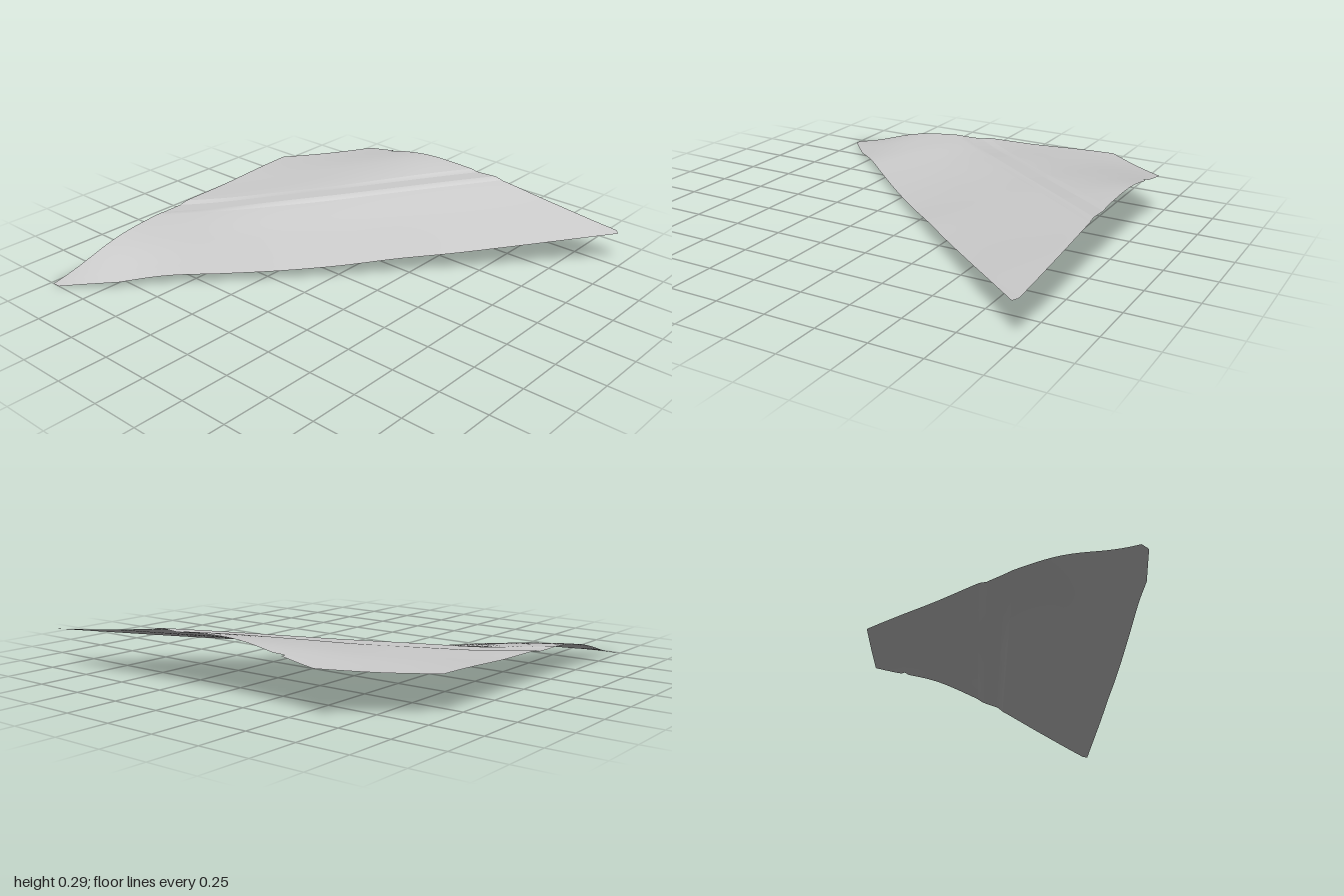
import * as THREE from 'three';

// Survey axes: q runs across the slope (back left to front right), t runs along the road.
const Q = [-1.62, -1.2, -0.79, -0.35, 0.06];
const T = [-2, -1.6, -1.2, -0.8, -0.4, 0, 0.4, 0.8, 1.2, 1.6, 2];
// Heights: one line per t, one column per q
const HEIGHTS = [
  0.15, 0.14, 0.140, 0.030, -0.006,
  0.16, 0.15, 0.145, 0.096, 0.024,
  0.165, 0.155, 0.150, 0.112, 0.056,
  0.17, 0.162, 0.158, 0.108, 0.055,
  0.18, 0.183, 0.178, 0.114, 0.058,
  0.195, 0.210, 0.200, 0.132, 0.072,
  0.222, 0.248, 0.229, 0.156, 0.098,
  0.255, 0.287, 0.256, 0.180, 0.116,
  0.28, 0.300, 0.280, 0.205, 0.140,
  0.29, 0.310, 0.300, 0.232, 0.166,
  0.30, 0.320, 0.315, 0.250, 0.192,
];
const SKEW = 0.026, ROAD = -0.79, HALF = 0.055, BANK = 0.045;
const clamp = THREE.MathUtils.clamp;

const alongRoad = new THREE.CubicInterpolant(T, HEIGHTS, 5, new Float32Array(5));

function terrain(q, t) {
  const row = Array.from(alongRoad.evaluate(clamp(t, -2, 2)));
  return new THREE.CubicInterpolant(Q, row, 1, [0]).evaluate(clamp(q, -1.62, 0.06))[0];
}

// The road bed is level across; the banks blend it into the ground
function height(q, t) {
  const d = Math.abs(q - ROAD);
  const natural = terrain(q, t);
  if (d >= HALF + BANK) return natural;
  const cut = 0.007 * THREE.MathUtils.smoothstep(-t, 0.5, 1.1);
  const fill = 0.004 * Math.exp(-Math.pow((t + 0.1) / 0.35, 2));
  const bed = terrain(ROAD, t) - cut + fill;
  return THREE.MathUtils.lerp(bed, natural, clamp((d - HALF) / BANK, 0, 1));
}

// Ends of each strip, where it meets the square boundary and the rounded front tip
function limits(q) {
  const left = (-1.97 - q) / (1 - SKEW);
  const front = (q - 2) / (1 + SKEW);
  const tip = -1.52 - (0.06 - q) * 8.5;
  let back = Math.min((q + 2) / (1 + SKEW), 1.97);
  if (Math.abs(q + 1.425) < 0.001) back -= 0.045; // small notch in the back edge
  return [Math.max(left, front, tip), back];
}

function steps(from, to, count) {
  return Array.from({ length: count }, (_, i) => from + ((to - from) * (i + 1)) / count);
}

function panel(name, rows, material) {
  const cols = 72, pos = [], index = [];
  rows.forEach((q, i) => {
    const [t0, t1] = limits(q);
    for (let j = 0; j <= cols; j++) {
      const t = t0 + ((t1 - t0) * j) / cols;
      const s = q - SKEW * t;
      pos.push((s + t) / 2, Math.max(0, height(q, t)), (s - t) / 2);
      if (i && j) {
        const d = i * (cols + 1) + j, c = d - 1, b = d - cols - 1, a = b - 1;
        index.push(a, c, b, b, c, d);
      }
    }
  });
  const g = new THREE.BufferGeometry();
  g.setAttribute('position', new THREE.Float32BufferAttribute(pos, 3));
  g.setIndex(index);
  g.computeVertexNormals();
  const mesh = new THREE.Mesh(g, material);
  mesh.name = name;
  return mesh;
}

export function createModel() {
  const group = new THREE.Group();
  group.name = 'hillside';
  const ground = new THREE.MeshStandardMaterial({ color: 0xcccccc, side: THREE.DoubleSide });
  ground.name = 'pale grey ground';

  const a = ROAD - HALF, b = ROAD + HALF;
  // Ground behind the road, with its bank
  group.add(panel('upperSlope', [-1.62, ...steps(-1.62, -1.45, 5), -1.425, -1.4, ...steps(-1.4, a - BANK, 14)], ground));
  group.add(panel('upperBank', [a - BANK, ...steps(a - BANK, a, 3)], ground));
  // Level road bed
  group.add(panel('roadBed', [a, ...steps(a, b, 4)], ground));
  // Ground in front of the road, with its bank
  group.add(panel('lowerBank', [b, ...steps(b, b + BANK, 3)], ground));
  group.add(panel('lowerSlope', [b + BANK, ...steps(b + BANK, -0.05, 18), ...steps(-0.05, 0.06, 9)], ground));
  return group;
}
